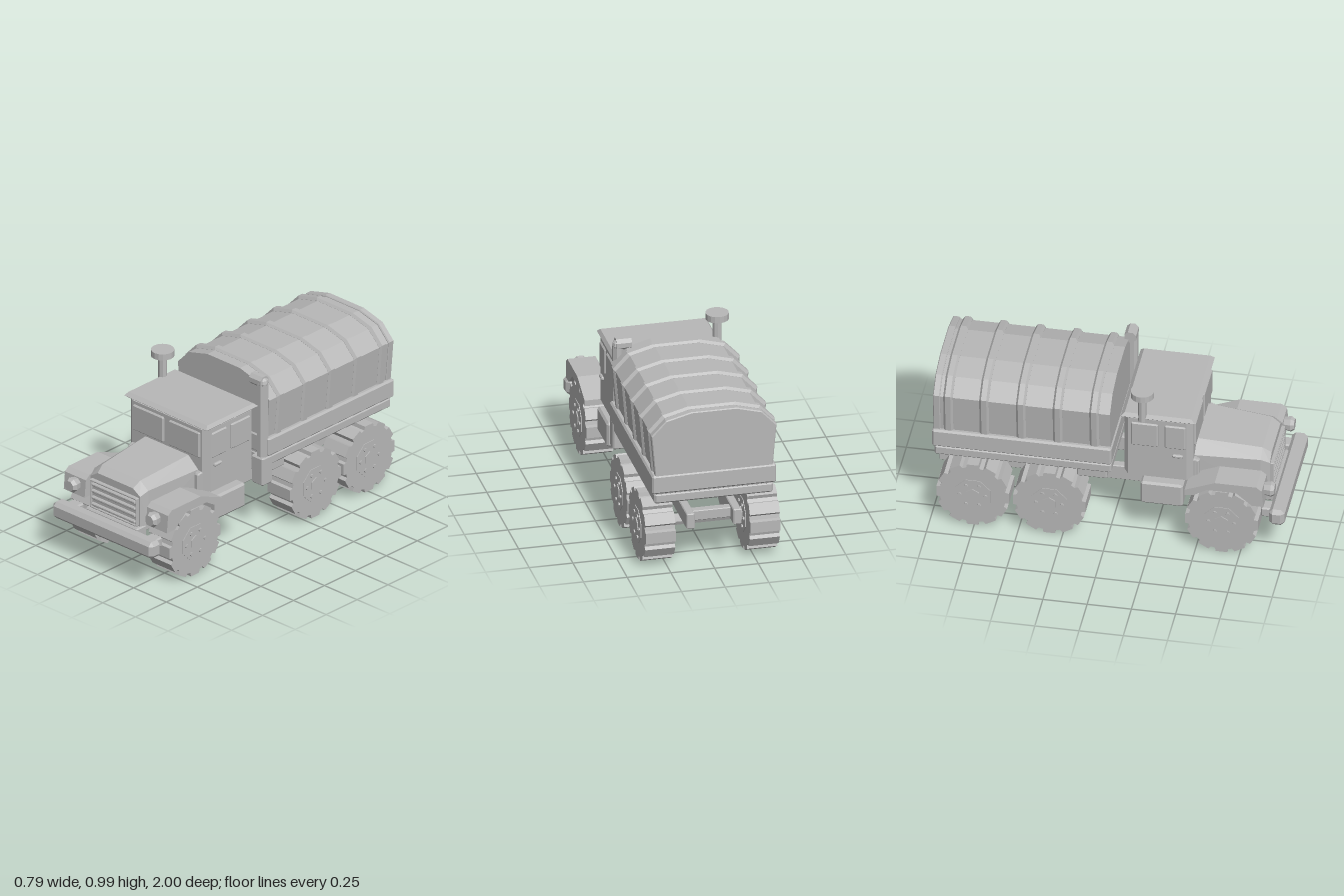
import * as THREE from 'three';
import { ConvexGeometry } from 'three/addons/geometries/ConvexGeometry.js';

const grey = new THREE.MeshStandardMaterial({ color: 0xb8b8b8, flatShading: true });
grey.name = 'plain grey';

export function createModel() {
  const truck = new THREE.Group();
  truck.name = 'cargoTruck';

  function add(name, geometry, x = 0, y = 0, z = 0, parent = truck) {
    const mesh = new THREE.Mesh(geometry, grey);
    mesh.name = name;
    mesh.position.set(x, y, z);
    parent.add(mesh);
    return mesh;
  }

  // Box given by its limits, with all edges chamfered by c
  function box(name, x0, x1, y0, y1, z0, z1, c = 0.008) {
    const h = [(x1 - x0) / 2, (y1 - y0) / 2, (z1 - z0) / 2];
    const points = [];
    for (const sx of [-1, 1]) for (const sy of [-1, 1]) for (const sz of [-1, 1]) {
      for (let a = 0; a < 3; a++) {
        const d = h.map((v, i) => (i === a ? v : v - c));
        points.push(new THREE.Vector3(sx * d[0], sy * d[1], sz * d[2]));
      }
    }
    return add(name, new ConvexGeometry(points), (x0 + x1) / 2, (y0 + y1) / 2, (z0 + z1) / 2);
  }

  // The same box on both sides
  function pair(name, x0, x1, ...rest) {
    box(name + 'Left', x0, x1, ...rest);
    box(name + 'Right', -x1, -x0, ...rest);
  }

  // Mirrored half sections [z, [x, y], ...] joined into one convex body
  function hull(name, sections) {
    const points = [];
    for (const [z, ...half] of sections)
      for (const [x, y] of half) for (const s of [-1, 1]) points.push(new THREE.Vector3(s * x, y, z));
    return add(name, new ConvexGeometry(points));
  }

  function prism(points, depth) {
    const shape = new THREE.Shape(points.map(([x, y]) => new THREE.Vector2(x, y)));
    return new THREE.ExtrudeGeometry(shape, { depth, bevelEnabled: false });
  }

  // Cylinder lying along x
  const rod = (r, length, sides) => new THREE.CylinderGeometry(r, r, length, sides).rotateZ(Math.PI / 2);

  // Chassis
  pair('chassisRail', 0.11, 0.157, 0.252, 0.345, -0.99, 0.9, 0.005);
  for (const z of [-0.9, -0.54, 0.1, 0.5]) box('crossMember', -0.12, 0.12, 0.27, 0.33, z - 0.025, z + 0.025, 0.004);
  pair('fuelTank', 0.155, 0.33, 0.235, 0.382, 0.177, 0.417, 0.012);
  box('underbedBox', -0.28, 0.28, 0.337, 0.425, -0.19, -0.02);
  box('cabMount', -0.13, 0.13, 0.34, 0.42, 0.12, 0.46);
  box('frontBumper', -0.385, 0.385, 0.215, 0.317, 0.91, 1, 0.022);
  pair('bumperBracket', 0.26, 0.34, 0.24, 0.3, 0.86, 0.92);
  box('bumperMount', -0.2, 0.2, 0.25, 0.32, 0.84, 0.92);

  // Tyre outline with twelve tapered lugs
  const tyreOutline = [];
  const lugs = 12;
  for (let i = 0; i < lugs; i++) {
    for (const [t, r] of [[-0.3, 0.208], [0.3, 0.208], [0.38, 0.187], [0.62, 0.187]]) {
      const a = ((i + t) / lugs) * Math.PI * 2 - Math.PI / 2;
      tyreOutline.push([Math.cos(a) * r, Math.sin(a) * r]);
    }
  }
  const tyre = prism(tyreOutline, 0.172).translate(0, 0, -0.086).rotateY(Math.PI / 2);

  // Six wheels on three axles
  for (const z of [0.647, -0.326, -0.759]) {
    add('axle', rod(0.033, 0.5, 8), 0, 0.21, z);
    for (const side of [-1, 1]) {
      const wheel = new THREE.Group();
      wheel.name = side > 0 ? 'wheelLeft' : 'wheelRight';
      wheel.position.set(side * 0.299, 0.207, z);
      truck.add(wheel);
      add('tyre', tyre, 0, 0, 0, wheel);
      add('rim', rod(0.108, 0.18, 8).rotateX(Math.PI / 8), 0, 0, 0, wheel);
      add('hub', rod(0.043, 0.192, 6).rotateX(Math.PI / 6), 0, 0, 0, wheel);
      for (let i = 0; i < 6; i++) {
        const a = (i * Math.PI) / 3;
        add('wheelBolt', rod(0.011, 0.196, 6), 0, Math.sin(a) * 0.073, Math.cos(a) * 0.073, wheel);
      }
    }
  }

  // Bonnet and cowl
  hull('bonnet', [
    [0.46, [0.24, 0.39], [0.24, 0.54], [0.165, 0.605]],
    [0.835, [0.21, 0.32], [0.205, 0.53], [0.145, 0.574]],
    [0.885, [0.19, 0.32], [0.19, 0.505], [0.135, 0.54]],
  ]);
  box('cowl', -0.272, 0.272, 0.41, 0.535, 0.42, 0.485);
  pair('cowlHinge', 0.235, 0.27, 0.4, 0.53, 0.46, 0.5);
  box('grilleBack', -0.172, 0.172, 0.325, 0.49, 0.87, 0.89, 0.004);
  pair('grilleSide', 0.168, 0.18, 0.32, 0.495, 0.87, 0.905, 0.004);
  for (const y of [0.325, 0.49]) box('grilleEdge', -0.175, 0.175, y - 0.006, y + 0.006, 0.87, 0.905, 0.004);
  for (const y of [0.343, 0.384, 0.425, 0.465]) box('grilleBar', -0.17, 0.17, y - 0.01, y + 0.01, 0.87, 0.905, 0.006);

  // Fenders: profile in (z, y), swept across x
  const fender = prism([
    [0.885, 0.35], [0.875, 0.455], [0.845, 0.479], [0.61, 0.479], [0.44, 0.41], [0.44, 0.375],
    [0.49, 0.38], [0.565, 0.425], [0.73, 0.425], [0.82, 0.35],
  ], 0.16).rotateY(-Math.PI / 2);
  add('fenderLeft', fender, 0.395);
  add('fenderRight', fender, -0.235);

  // Headlights
  for (const s of [-1, 1]) {
    const lamp = new THREE.CylinderGeometry(0.032, 0.045, 0.02, 8).rotateY(Math.PI / 8).rotateX(Math.PI / 2);
    const cup = new THREE.CylinderGeometry(0.045, 0.036, 0.04, 8).rotateY(Math.PI / 8).rotateX(Math.PI / 2);
    add('headlightCup', cup, s * 0.307, 0.415, 0.895);
    add('headlightLens', lamp, s * 0.307, 0.415, 0.925);
  }

  // Cab with chamfered corners
  const cabHalf = (y0, y1, x) => [[x, y0], [x, y1]];
  hull('cab', [
    [0.468, ...cabHalf(0.42, 0.795, 0.268)],
    [0.435, ...cabHalf(0.41, 0.8, 0.305)],
    [0.105, ...cabHalf(0.41, 0.8, 0.305)],
    [0.08, ...cabHalf(0.425, 0.79, 0.28)],
  ]);
  pair('windscreen', 0.02, 0.256, 0.618, 0.775, 0.45, 0.479, 0.007);
  pair('frontSideWindow', 0.29, 0.314, 0.62, 0.775, 0.31, 0.43, 0.007);
  pair('rearSideWindow', 0.29, 0.314, 0.62, 0.775, 0.12, 0.275, 0.007);
  pair('doorHandle', 0.3, 0.32, 0.562, 0.582, 0.355, 0.415, 0.006);
  hull('roof', [
    [0.46, [0.295, 0.795], [0.3, 0.832]],
    [0.482, [0.315, 0.812]],
    [0.063, [0.315, 0.812]],
    [0.085, [0.295, 0.795], [0.3, 0.832]],
  ]);

  // Air intake
  add('intakeStem', new THREE.CylinderGeometry(0.025, 0.025, 0.17, 8), -0.301, 0.875, 0.185);
  add('intakeCap', new THREE.CylinderGeometry(0.066, 0.066, 0.038, 16), -0.301, 0.976, 0.185);

  // Exhaust stack
  box('exhaustSilencer', 0.255, 0.345, 0.315, 0.487, -0.025, 0.058);
  add('exhaustPipe', new THREE.CylinderGeometry(0.034, 0.034, 0.46, 8).rotateY(Math.PI / 8), 0.307, 0.71, 0.018);
  add('exhaustElbow', new THREE.SphereGeometry(0.035, 8, 6), 0.307, 0.94, 0.018);
  add('exhaustOutlet', rod(0.036, 0.088, 8).rotateX(Math.PI / 8), 0.277, 0.947, 0.018);

  // Cargo bed
  box('bedFloor', -0.34, 0.34, 0.425, 0.485, -0.985, 0.015, 0.01);
  box('bedWalls', -0.355, 0.355, 0.49, 0.602, -0.997, 0.018, 0.01);
  box('bedJoint', -0.33, 0.33, 0.48, 0.495, -0.98, 0.01, 0.002);

  // Canvas cover and its hoops
  const half = [[0.34, 0.59], [0.363, 0.85], [0.28, 0.937], [0.137, 0.975]];
  function cover(name, z0, z1, inset, slope) {
    const ring = (z, d) => [z, ...half.map(([x, y]) => [x - d, y - d])];
    hull(name, [ring(z0, inset + slope), ring(z0 + slope, inset), ring(z1 - slope, inset), ring(z1, inset + slope)]);
  }
  cover('canvasCover', -0.99, 0.01, 0.013, 0);
  for (const z of [-0.08, -0.287, -0.494, -0.702, -0.905]) cover('canvasHoop', z - 0.027, z + 0.027, 0, 0.012);
  cover('canvasRearHem', -0.99, -0.95, 0.005, 0.005);

  return truck;
}
